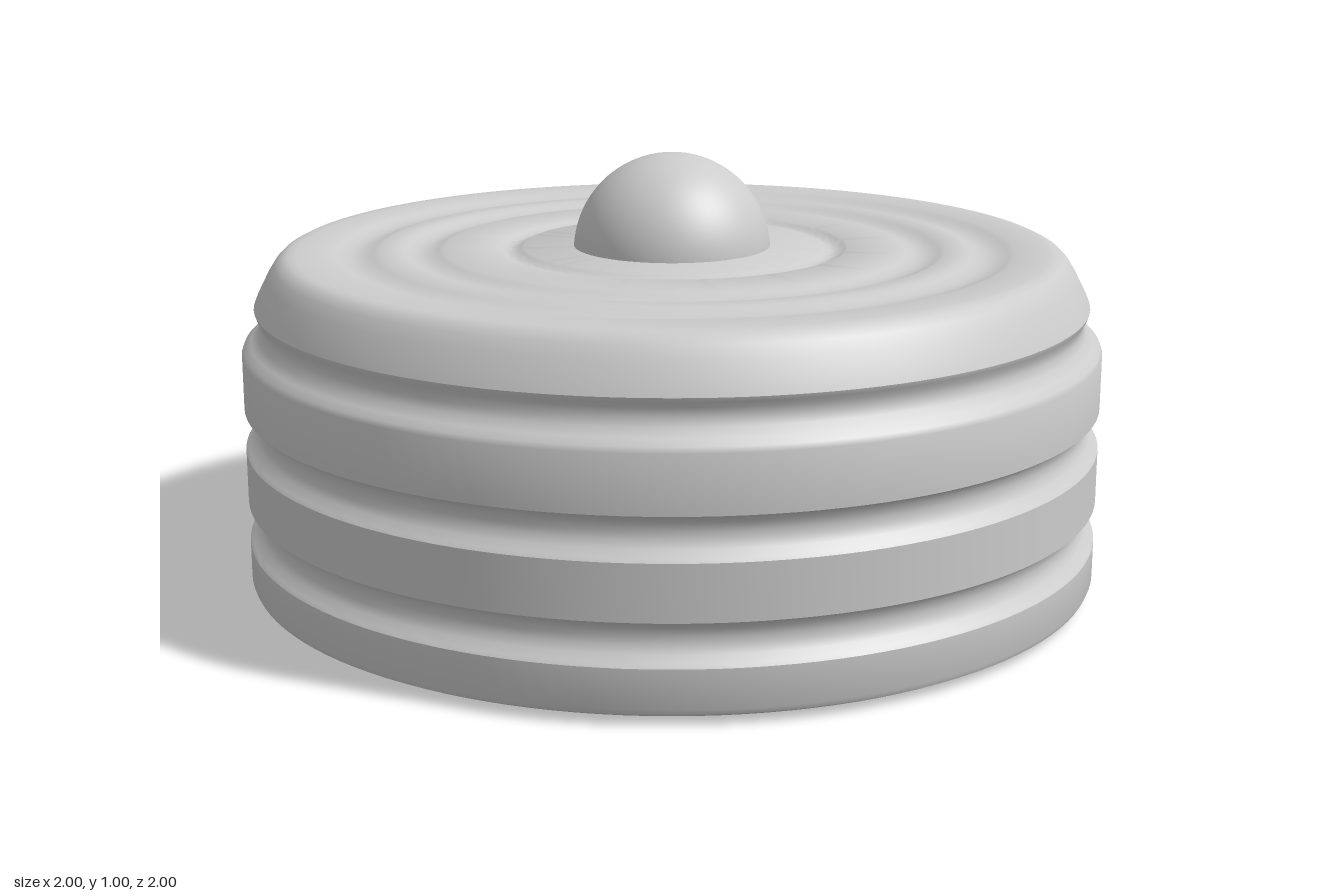
import * as THREE from 'three';
import { toCreasedNormals } from 'three/addons/utils/BufferGeometryUtils.js';

const grey = new THREE.MeshStandardMaterial({ color: 0xcccccc });
grey.name = 'light grey';

const TOP = 0.785;

// Turned part from [radius, height] pairs listed bottom to top
function turned(name, profile, crease) {
  const points = profile.map(([r, y]) => new THREE.Vector2(r, y));
  const geometry = toCreasedNormals(new THREE.LatheGeometry(points, 128), crease);
  const mesh = new THREE.Mesh(geometry, grey);
  mesh.name = name;
  return mesh;
}

// Side groove: soft lower lip, sharper upper lip
function sideGroove(y, endRadius = 1) {
  return [
    [1, y], [0.994, y + 0.008], [0.978, y + 0.022], [0.97, y + 0.04], [0.968, y + 0.056],
    [0.972, y + 0.074], [0.982, y + 0.088], [endRadius, y + 0.096], [endRadius, y + 0.104],
  ];
}

// Shallow ring pressed into the top, from outer to inner radius
function topGroove(outer, inner, depth) {
  const points = [];
  for (let i = 0; i <= 8; i++) {
    const t = i / 8;
    points.push([outer + (inner - outer) * t, TOP - depth * Math.sin(Math.PI * t)]);
  }
  return points;
}

export function createModel() {
  const model = new THREE.Group();
  model.name = 'ribbedDrum';

  const profile = [
    // slightly domed underside and rounded foot
    [0, 0], [0.3, 0.002], [0.85, 0.008], [0.94, 0.01], [0.98, 0.015], [0.995, 0.023], [1, 0.035],
    // ribbed side
    ...sideGroove(0.122),
    ...sideGroove(0.342),
    [1, 0.565], [0.995, 0.577], [0.978, 0.59], [0.962, 0.608], [0.956, 0.627],
    [0.958, 0.646], [0.966, 0.658], [0.969, 0.668],
    // sloped shoulder
    [0.96, 0.69], [0.937, 0.735], [0.92, 0.762], [0.906, 0.776], [0.89, 0.784], [0.87, TOP],
    // ringed top
    ...topGroove(0.795, 0.68, 0.014),
    ...topGroove(0.635, 0.53, 0.014),
    ...topGroove(0.41, 0.345, 0.012),
    [0, TOP],
  ];
  model.add(turned('drumBody', profile, 0.6));

  // Half ball on the top
  const dome = new THREE.Mesh(
    new THREE.SphereGeometry(0.23, 64, 24, 0, Math.PI * 2, 0, Math.PI / 2), grey);
  dome.name = 'topKnob';
  dome.position.y = 0.77;
  model.add(dome);

  return model;
}
